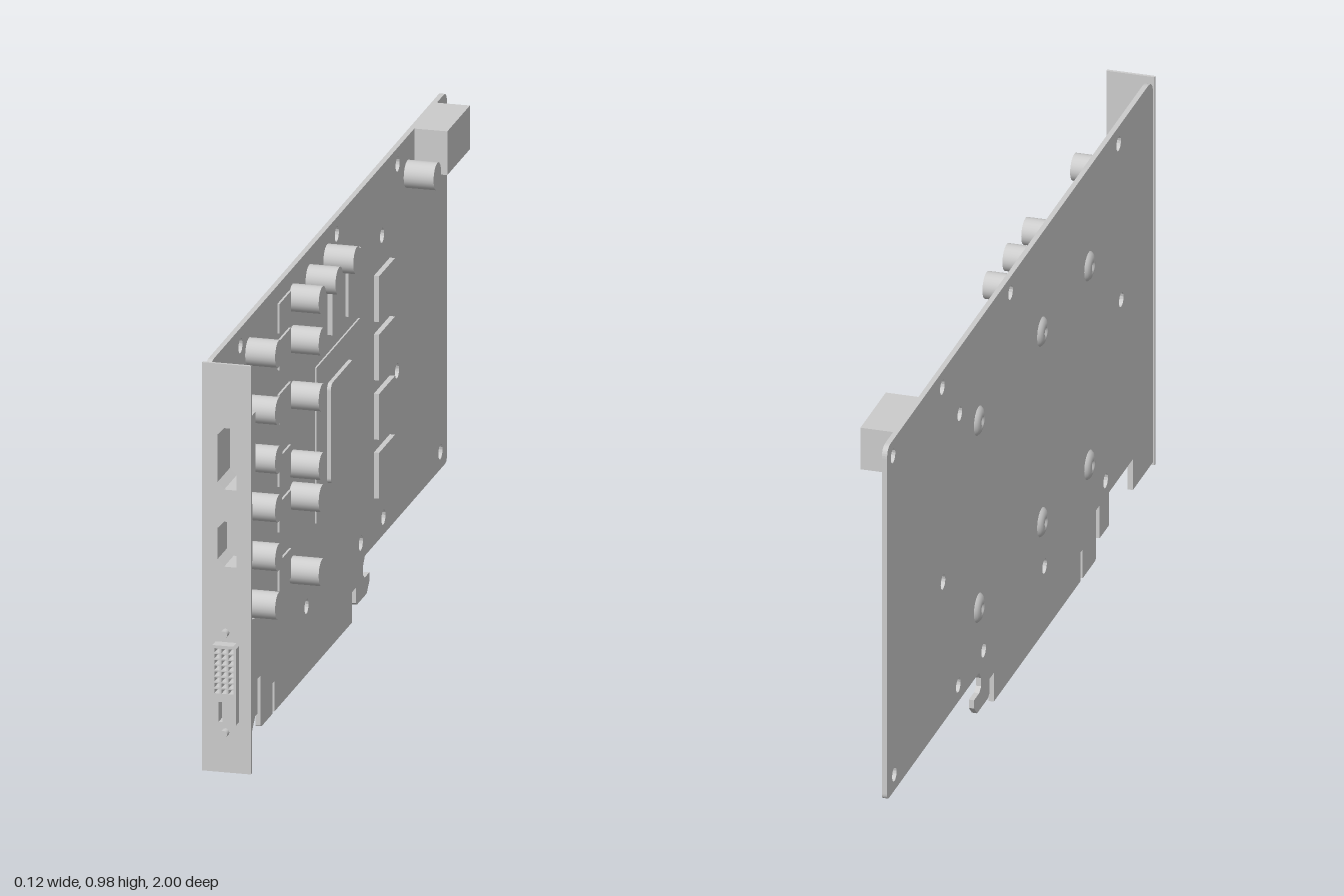
import * as THREE from 'three';

const BOARD_BACK = -0.05, BOARD_FACE = -0.038;

export function createModel() {
  const group = new THREE.Group();
  const flat = new THREE.MeshStandardMaterial({ color: 0xcccccc, side: THREE.DoubleSide });

  const add = (name, geometry, parent = group) => {
    const mesh = new THREE.Mesh(geometry, flat);
    mesh.name = name;
    parent.add(mesh);
    return mesh;
  };
  const section = (name) => {
    const g = new THREE.Group();
    g.name = name;
    group.add(g);
    return g;
  };
  const polygon = (pts, Type = THREE.Shape) => new Type(pts.map(([x, y]) => new THREE.Vector2(x, y)));
  const circle = (x, y, r) => new THREE.Path().absarc(x, y, r, 0, Math.PI * 2, true);
  const rect = (x0, y0, x1, y1, Type = THREE.Shape) => polygon([[x0, y0], [x1, y0], [x1, y1], [x0, y1]], Type);
  // Box given by its limits on each axis
  const box = (name, x0, x1, y0, y1, z0, z1, parent) =>
    add(name, new THREE.BoxGeometry(x1 - x0, y1 - y0, z1 - z0)
      .translate((x0 + x1) / 2, (y0 + y1) / 2, (z0 + z1) / 2), parent);
  // Shape drawn in (-z, y), extruded along x
  const extrudeX = (shape, x0, x1) => new THREE.ExtrudeGeometry(shape,
    { depth: x1 - x0, bevelEnabled: false, curveSegments: 8 }).rotateY(Math.PI / 2).translate(x0, 0, 0);
  const extrudeZ = (shape, z0, z1) => new THREE.ExtrudeGeometry(shape,
    { depth: z1 - z0, bevelEnabled: false, curveSegments: 8 }).translate(0, 0, z0);

  // Circuit board with edge connector, locking hook and mounting holes
  const board = new THREE.Shape();
  board.moveTo(-0.965, 0.045);
  [[-0.815, 0.045], [-0.815, 0.12], [-0.64, 0.12], [-0.64, 0.04], [-0.57, 0.04], [-0.57, 0.12],
    [-0.543, 0.12], [-0.543, 0.004], [-0.535, 0], [-0.445, 0], [-0.445, 0.07], [-0.43, 0.07], [-0.43, 0],
    [0.212, 0], [0.212, 0.07], [0.245, 0.07], [0.245, 0.035], [0.255, 0.028], [0.335, 0.028],
    [0.358, 0.05], [0.358, 0.07], [0.32, 0.07], [0.305, 0.08], [0.305, 0.1], [0.32, 0.12], [0.985, 0.12]]
    .forEach(([u, y]) => board.lineTo(u, y));
  board.quadraticCurveTo(1, 0.12, 1, 0.135);
  board.lineTo(1, 0.95);
  board.quadraticCurveTo(1, 0.976, 0.974, 0.976);
  board.lineTo(-0.925, 0.976);
  board.quadraticCurveTo(-0.965, 0.976, -0.965, 0.936);
  board.closePath();
  [[-0.71, 0.935], [0.088, 0.938], [0.592, 0.938], [0.956, 0.938], [0.463, 0.815], [-0.73, 0.547],
    [0.587, 0.462], [-0.614, 0.16], [-0.163, 0.158], [0.287, 0.16], [0.474, 0.16], [0.946, 0.16]]
    .forEach(([u, y]) => board.holes.push(circle(u, y, 0.017)));
  add('circuitBoard', extrudeX(board, BOARD_BACK, BOARD_FACE));

  // Capacitors, placed by (z, y)
  const capacitors = section('capacitors');
  const spots = [
    ...[0.9, 0.768, 0.655, 0.543, 0.43, 0.318].map((y) => [0.64, y]),
    ...[0.909, 0.813, 0.684, 0.525, 0.451, 0.28].map((y) => [0.279, y]),
    [0.14, 0.909], [-0.008, 0.909], [-0.673, 0.89],
  ];
  for (const [z, y] of spots) {
    add('capacitor', new THREE.CylinderGeometry(0.031, 0.031, 0.068, 24)
      .rotateZ(Math.PI / 2).translate(-0.004, y, z), capacitors);
  }

  // Flat power chips beside the second capacitor row
  const chips = section('powerChips');
  for (const y of [0.9, 0.815, 0.69, 0.545, 0.44, 0.305])
    box('powerChip', BOARD_FACE, -0.033, y - 0.034, y + 0.034, 0.308, 0.405, chips);

  // Memory chips
  const memory = section('memoryChips');
  for (const y of [0.69, 0.555, 0.418, 0.282])
    box('memoryChip', BOARD_FACE, -0.026, y - 0.053, y + 0.053, -0.527, -0.395, memory);
  for (const z of [-0.062, -0.195])
    box('memoryChip', BOARD_FACE, -0.026, 0.73, 0.858, z - 0.053, z + 0.053, memory);

  // Processor package and its raised lid
  box('processorBase', BOARD_FACE, -0.034, 0.327, 0.687, -0.267, 0.093);
  const lid = new THREE.Shape();
  const [u0, u1, v0, v1, r] = [-0.008, 0.182, 0.39, 0.622, 0.015];
  lid.absarc(u1 - r, v0 + r, r, -Math.PI / 2, 0);
  lid.absarc(u1 - r, v1 - r, r, 0, Math.PI / 2);
  lid.absarc(u0 + r, v1 - r, r, Math.PI / 2, Math.PI);
  lid.absarc(u0 + r, v0 + r, r, Math.PI, Math.PI * 1.5);
  add('processorLid', extrudeX(lid, -0.034, -0.025));

  // Power socket
  box('powerSocket', BOARD_FACE, 0.037, 0.875, 0.976, -0.917, -0.73);

  // Mounting bracket with two port openings
  const port = (y0, y1, Type) => polygon([[0.025, y0], [0.025, y1], [-0.003, y1], [-0.018, y1 - 0.016],
    [-0.018, y0 + 0.016], [-0.003, y0]], Type);
  const ports = [[0.69, 0.832, 0.69, 0.835, 0.858], [0.512, 0.616, 0.503, 0.63, 0.884]];
  const plate = rect(-0.053, 0.037, 0.058, 0.98);
  ports.forEach(([a, b]) => plate.holes.push(port(a, b, THREE.Path)));
  add('bracket', extrudeZ(plate, 0.966, 0.973));

  // Hollow video sockets behind the openings
  for (const [a, b, y0, y1, z0] of ports) {
    const socket = section('videoSocket');
    const shell = rect(BOARD_FACE, y0 - 0.002, 0.037, y1 + 0.002);
    shell.holes.push(port(a, b, THREE.Path));
    add('socketShell', extrudeZ(shell, z0 + 0.01, 0.966), socket);
    box('socketBack', BOARD_FACE, 0.037, y0 - 0.002, y1 + 0.002, z0, z0 + 0.01, socket);
  }

  // Large display socket: stepped body, pin face, side nuts
  const display = section('displaySocket');
  const body = polygon([[-0.966, 0.075], [-0.92, 0.075], [-0.86, 0.135], [-0.86, 0.36],
    [-0.912, 0.372], [-0.912, 0.41], [-0.966, 0.41]]);
  add('displaySocketBody', extrudeX(body, BOARD_FACE, 0.037), display);
  const face = polygon([[-0.022, 0.15], [0.025, 0.15], [0.031, 0.156], [0.031, 0.332], [0.025, 0.338],
    [-0.022, 0.338], [-0.029, 0.325], [-0.029, 0.163]]);
  for (let row = 0; row < 8; row++) {
    for (const x of [-0.012, 0.004, 0.02]) {
      const y = 0.326 - row * 0.0134;
      face.holes.push(rect(x - 0.0055, y - 0.005, x + 0.0055, y + 0.005, THREE.Path));
    }
  }
  face.holes.push(rect(-0.008, 0.162, 0.001, 0.208, THREE.Path));
  add('displaySocketFace', extrudeZ(face, 0.973, 1), display);
  for (const y of [0.36, 0.13])
    add('socketNut', new THREE.CylinderGeometry(0.009, 0.009, 0.02, 16)
      .rotateX(Math.PI / 2).translate(0, y, 0.982), display);

  // Domed screws with a hexagonal recess
  const screw = (name, radius, height, x, y, z, dir) => {
    const profile = [[0, 0.4], [0.3, 0.4], [0.3, 1], [0.6, 0.85], [0.85, 0.55], [1, 0]]
      .map(([a, b]) => new THREE.Vector2(a * radius, b * height)).reverse();
    add(name, new THREE.LatheGeometry(profile, 24).rotateZ(-dir * Math.PI / 2).translate(x, y, z));
  };
  for (const [z, y] of [[-0.325, 0.735], [0.142, 0.738], [0.49, 0.738],
    [-0.325, 0.28], [0.142, 0.275], [0.49, 0.255]])
    screw('backScrew', 0.034, 0.01, BOARD_BACK, y, z, -1);
  screw('bracketScrew', 0.024, 0.01, BOARD_FACE, 0.928, 0.92, 1);
  screw('bracketScrew', 0.024, 0.01, BOARD_FACE, 0.072, 0.893, 1);

  return group;
}
